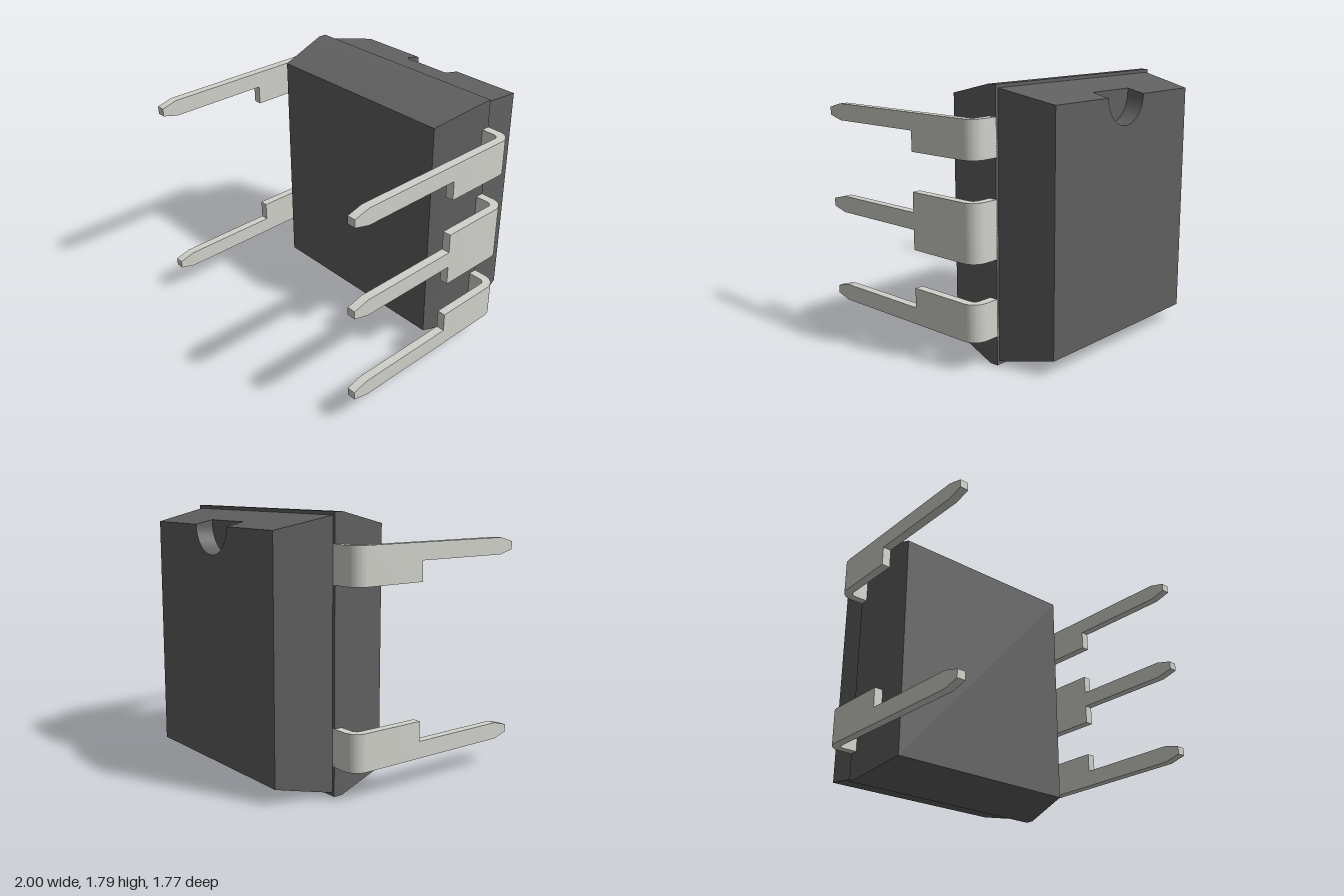
import * as THREE from 'three';
import { mergeGeometries, toCreasedNormals } from 'three/addons/utils/BufferGeometryUtils.js';

const HEIGHT = 1.795, MID = HEIGHT / 2;

// Counter-clockwise rectangle of half sizes w, h around the body's middle
const rect = (w, h) => [[-w, MID - h], [w, MID - h], [w, MID + h], [-w, MID + h]];

// Same rectangle with a round notch cut down from its top edge
function notchedRect(w, h, r, cy) {
  const pts = rect(w, h), top = MID + h, notch = [[r, top]];
  for (let i = 0; i <= 20; i++) {
    const a = -Math.PI * i / 20;
    notch.push([r * Math.cos(a), cy + r * Math.sin(a)]);
  }
  notch.push([-r, top]);
  pts.splice(3, 0, ...notch);
  return pts;
}

// Skin cross-sections [z, points], listed from back to front, and cap both ends
function loft(sections) {
  const pos = [];
  const tri = (...corners) => corners.forEach(([p, z]) => pos.push(p[0], p[1], z));
  for (let s = 0; s < sections.length - 1; s++) {
    const [z0, a] = sections[s], [z1, b] = sections[s + 1];
    for (let i = 0; i < a.length; i++) {
      const j = (i + 1) % a.length;
      tri([a[i], z0], [a[j], z0], [b[j], z1]);
      tri([a[i], z0], [b[j], z1], [b[i], z1]);
    }
  }
  const cap = ([z, pts], flip) => {
    const faces = THREE.ShapeUtils.triangulateShape(pts.map(p => new THREE.Vector2(...p)), []);
    for (const [i, j, k] of faces) {
      if (flip) tri([pts[i], z], [pts[k], z], [pts[j], z]);
      else tri([pts[i], z], [pts[j], z], [pts[k], z]);
    }
  };
  cap(sections[0], true);
  cap(sections[sections.length - 1], false);
  const g = new THREE.BufferGeometry();
  g.setAttribute('position', new THREE.Float32BufferAttribute(pos, 3));
  return toCreasedNormals(g, 0.4);
}

// One bent pin on the +x side: shoulder spans y0..y1, blade spans b0..b1
function pinGeometry(y0, y1, b0, b1) {
  // Horizontal root and rounded bend, drawn in x / -z
  const bend = new THREE.Shape();
  bend.moveTo(0.72, 0.44);
  bend.lineTo(0.9, 0.44);
  bend.absarc(0.9, 0.4, 0.04, Math.PI / 2, 0, true);
  bend.lineTo(1, 0.4);
  bend.absarc(0.9, 0.4, 0.1, 0, Math.PI / 2, false);
  bend.lineTo(0.72, 0.5);
  const root = new THREE.ExtrudeGeometry(bend, { depth: y1 - y0, bevelEnabled: false, curveSegments: 10 });
  root.rotateX(-Math.PI / 2).translate(0, y0, 0);

  // Flat shoulder, narrow blade and tapered tip, drawn in z / y
  const outline = [
    [-0.4, y0], [0.05, y0], [0.05, b0], [0.775, b0], [0.885, b0 + 0.03],
    [0.885, b1 - 0.03], [0.775, b1], [0.05, b1], [0.05, y1], [-0.4, y1],
  ].map(p => new THREE.Vector2(...p));
  const blade = new THREE.ExtrudeGeometry(new THREE.Shape(outline), { depth: 0.06, bevelEnabled: false });
  blade.rotateY(-Math.PI / 2).translate(1, 0, 0);
  return toCreasedNormals(mergeGeometries([root, blade]), 0.6);
}

export function createModel() {
  const model = new THREE.Group();
  const dark = new THREE.MeshStandardMaterial({ color: 0x606060 });
  const metal = new THREE.MeshStandardMaterial({ color: 0xd2d2cc });
  const add = (name, geometry, material, parent = model) => {
    const mesh = new THREE.Mesh(geometry, material);
    mesh.name = name;
    parent.add(mesh);
    return mesh;
  };

  // Moulded case: front half with parting band, back half, notched back slab
  const body = new THREE.Group();
  body.name = 'body';
  model.add(body);
  add('frontCase', loft([
    [-0.5, rect(0.805, MID)], [-0.44, rect(0.805, MID)], [-0.055, rect(0.725, 0.812)],
  ]), dark, body);
  add('backCase', loft([[-0.76, rect(0.732, 0.82)], [-0.5, rect(0.785, 0.875)]]), dark, body);
  add('notchedBack', loft([
    [-0.885, notchedRect(0.705, 0.793, 0.19, 1.69)],
    [-0.76, notchedRect(0.732, 0.82, 0.19, 1.69)],
  ]), dark, body);

  // Pins: three on the left, two on the right turned half round the case's axis
  const lower = pinGeometry(0.195, 0.445, 0.195, 0.31);
  const middle = pinGeometry(0.705, 1.09, 0.84, 0.955);
  const upper = pinGeometry(1.35, 1.6, 1.485, 1.6);
  add('leftLowerPin', lower, metal);
  add('leftMiddlePin', middle, metal);
  add('leftUpperPin', upper, metal);
  for (const [name, geometry] of [['rightUpperPin', lower], ['rightLowerPin', upper]]) {
    const pin = add(name, geometry, metal);
    pin.rotation.z = Math.PI;
    pin.position.y = HEIGHT;
  }
  return model;
}
